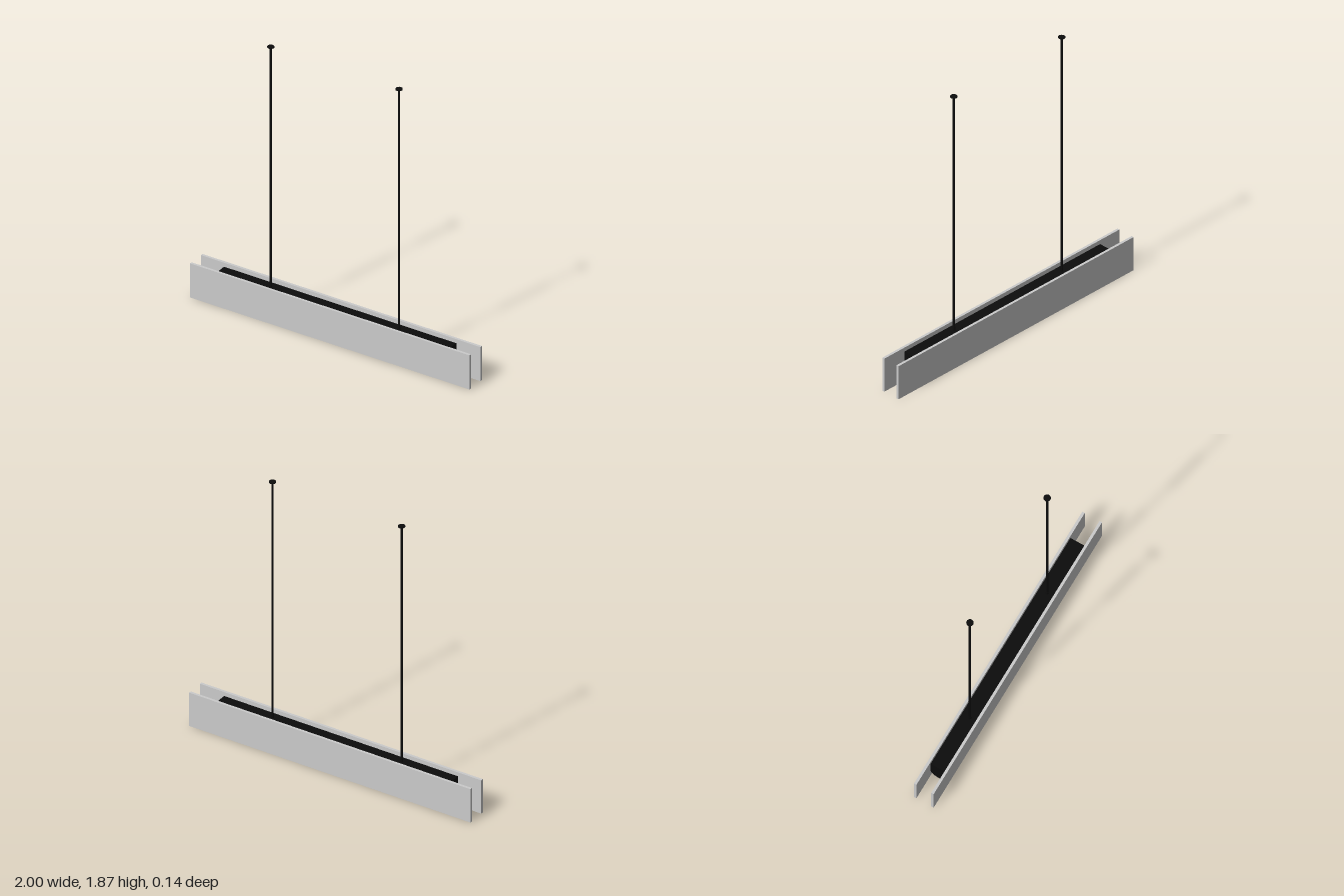
import * as THREE from 'three';

const grey = new THREE.MeshStandardMaterial({ color: 0xcccccc });
const black = new THREE.MeshStandardMaterial({ color: 0x0c0c0c });

function add(parent, name, geometry, material, x, y, z) {
  const mesh = new THREE.Mesh(geometry, material);
  mesh.name = name;
  mesh.position.set(x, y, z);
  parent.add(mesh);
  return mesh;
}

// U-shaped section with a half-round bottom, drawn in (z, y)
function channelShape(halfWidth, top, bottom) {
  const shape = new THREE.Shape();
  shape.moveTo(halfWidth, top);
  shape.lineTo(-halfWidth, top);
  shape.lineTo(-halfWidth, bottom + halfWidth);
  shape.absarc(0, bottom + halfWidth, halfWidth, Math.PI, Math.PI * 2, false);
  shape.closePath();
  return shape;
}

export function createModel() {
  const model = new THREE.Group();
  model.name = 'pendantLamp';
  const bodyX = -0.003, bodyHalf = 0.831, capLength = 0.11;

  // Two long side panels
  for (const [name, side] of [['frontPanel', 1], ['backPanel', -1]]) {
    add(model, name, new THREE.BoxGeometry(2, 0.235, 0.017), grey, 0, 0.1175, side * 0.0595);
  }

  // Housing between the panels
  add(model, 'housing', new THREE.BoxGeometry(2 * (bodyHalf - capLength), 0.11, 0.1), black, bodyX, 0.153, 0);

  // Rounded holders at both ends
  const holder = new THREE.ExtrudeGeometry(channelShape(0.05, 0.208, 0.042), {
    depth: capLength, bevelEnabled: false, curveSegments: 24,
  });
  holder.translate(0, 0, -capLength / 2);
  holder.rotateY(Math.PI / 2);
  for (const [name, side] of [['leftHolder', 1], ['rightHolder', -1]]) {
    add(model, name, holder, black, bodyX + side * (bodyHalf - capLength / 2), 0, 0);
  }

  // Light tube held between the holders
  const tube = new THREE.CylinderGeometry(0.04, 0.04, 2 * (bodyHalf - capLength), 24);
  tube.rotateZ(Math.PI / 2);
  add(model, 'lightTube', tube, grey, bodyX, 0.092, 0);

  // Suspension rods with ceiling discs and lower collars
  for (const [name, x] of [['leftSuspension', 0.455], ['rightSuspension', -0.463]]) {
    const suspension = new THREE.Group();
    suspension.name = name;
    suspension.position.set(x, 0, 0.006);
    add(suspension, 'rod', new THREE.CylinderGeometry(0.007, 0.007, 1.665, 16), black, 0, 1.0375, 0);
    add(suspension, 'ceilingDisc', new THREE.CylinderGeometry(0.022, 0.022, 0.006, 24), black, 0, 1.87, 0);
    add(suspension, 'collar', new THREE.CylinderGeometry(0.009, 0.009, 0.03, 16), black, 0, 0.22, 0);
    model.add(suspension);
  }

  return model;
}
